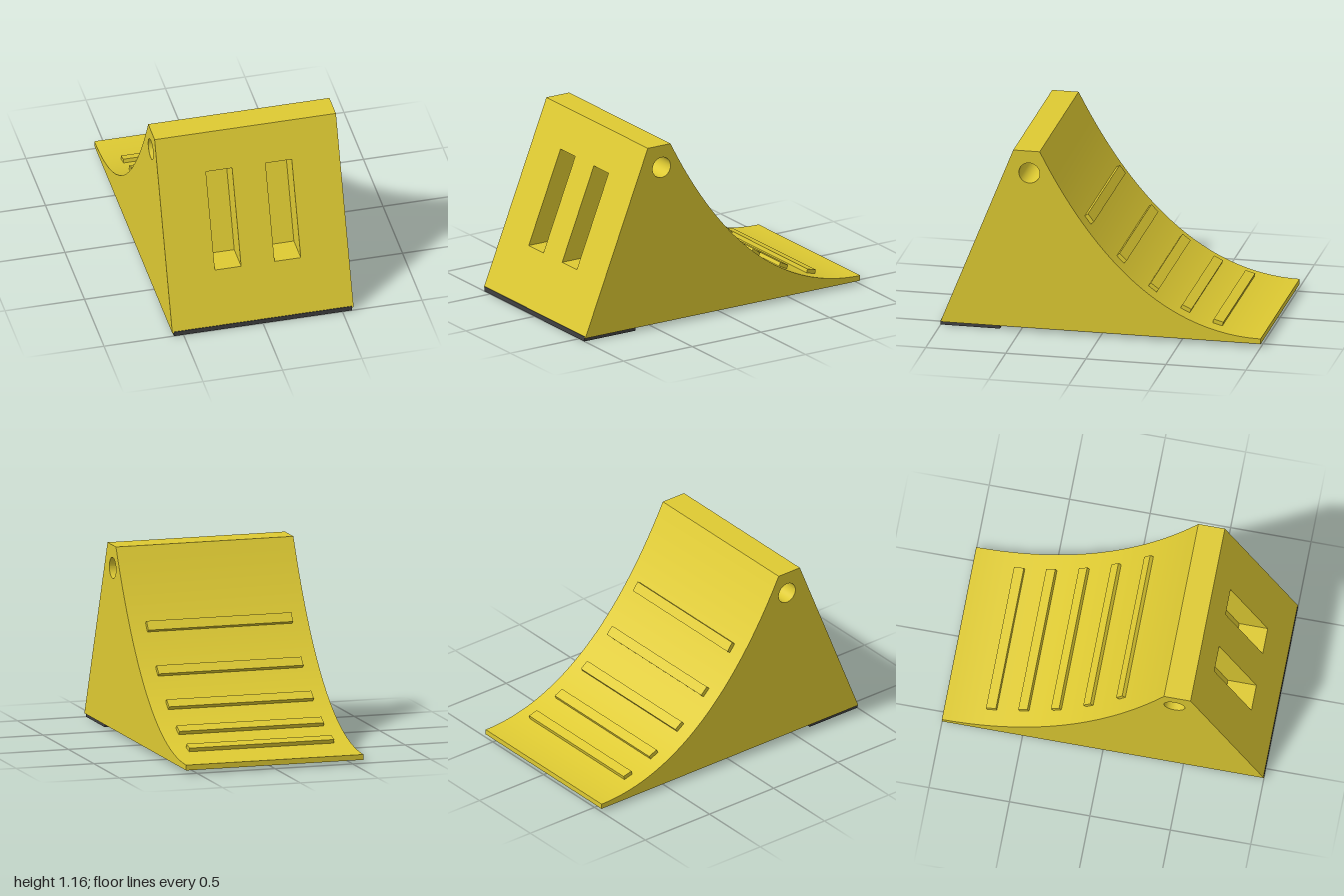
import * as THREE from 'three';
import { mergeGeometries } from 'three/addons/utils/BufferGeometryUtils.js';

const W = 0.57;                                   // half width of the wedge
const BASE = 0.022, TOP = 1.165;                  // underside and crest heights
const FRONT = 1, CREST_FRONT = 0.545, CREST_BACK = 0.38, TOE = -1, TOE_TOP = 0.055;
const HOLE = { z: 0.445, y: 1.023, r: 0.065 };
const POCKET = { x: 0.1875, half: 0.0825, low: 0.355, high: 0.935, depth: 0.177 };

// z of the sloping front at a given height
const slopeZ = (y) => FRONT + (CREST_FRONT - FRONT) * (y - BASE) / (TOP - BASE);

// Concave wheel face, from crest to toe, as (z, y)
const curve = new THREE.QuadraticBezierCurve(
  new THREE.Vector2(CREST_BACK, TOP),
  new THREE.Vector2(-0.19, TOE_TOP),
  new THREE.Vector2(TOE, TOE_TOP));

// Sheet spanning x0..x1 that follows a line of (z, y) points
function sheet(x0, x1, points) {
  const g = new THREE.PlaneGeometry(1, 1, 1, points.length - 1);
  const p = g.attributes.position;
  points.forEach(([z, y], i) => {
    p.setXYZ(2 * i, x0, y, z);
    p.setXYZ(2 * i + 1, x1, y, z);
  });
  g.computeVertexNormals();
  return g;
}

// Flat plate in the z-y plane at x, facing +x (side 1) or -x (side -1)
function sidePlate(x, side, outline, hole) {
  const toShape = ([z, y]) => new THREE.Vector2(-side * z, y);
  const shape = new THREE.Shape(outline.map(toShape));
  if (hole) shape.holes.push(new THREE.Path(hole.map(toShape)));
  return new THREE.ShapeGeometry(shape).rotateY(side * Math.PI / 2).translate(x, 0, 0);
}

function rectangle(Kind, x0, x1, y0, y1) {
  return new Kind([[x0, y0], [x1, y0], [x1, y1], [x0, y1]].map(([x, y]) => new THREE.Vector2(x, y)));
}

function wedgeGeometry() {
  const face = curve.getPoints(40).map((p) => [p.x, p.y]).reverse();   // toe up to crest
  const ring = Array.from({ length: 49 }, (_, i) => {
    const a = i / 48 * Math.PI * 2;
    return [HOLE.z + HOLE.r * Math.cos(a), HOLE.y + HOLE.r * Math.sin(a)];
  });
  const outline = [[CREST_FRONT, TOP], [FRONT, BASE], [TOE, BASE], ...face];

  // Underside, toe edge, wheel face, crest and the cross hole
  const parts = [
    sheet(-W, W, [[FRONT, BASE], [TOE, BASE]]),
    sheet(-W, W, [[TOE, BASE], [TOE, TOE_TOP]]),
    sheet(-W, W, face),
    sheet(-W, W, [[CREST_BACK, TOP], [CREST_FRONT, TOP]]),
    sheet(-W, W, ring),
  ];
  for (const side of [1, -1]) parts.push(sidePlate(side * W, side, outline, ring.slice(0, -1)));

  // Sloping front with two openings
  const front = rectangle(THREE.Shape, -W, W, BASE, TOP);
  const { low, high, depth, half } = POCKET;
  const pocket = [
    [slopeZ(high), high], [slopeZ(high) - depth, high],
    [slopeZ(low) - depth, low], [slopeZ(low), low]];
  for (const s of [1, -1]) {
    const x0 = s * POCKET.x - half, x1 = s * POCKET.x + half;
    front.holes.push(rectangle(THREE.Path, x0, x1, low, high));
    // Pocket ceiling, back and floor, then its two cheeks
    for (let i = 0; i < 3; i++) parts.push(sheet(x0, x1, [pocket[i], pocket[i + 1]]));
    parts.push(sidePlate(x0, 1, pocket), sidePlate(x1, -1, pocket));
  }
  const frontGeo = new THREE.ShapeGeometry(front);
  const p = frontGeo.attributes.position;
  for (let i = 0; i < p.count; i++) p.setZ(i, slopeZ(p.getY(i)));
  frontGeo.computeVertexNormals();
  parts.push(frontGeo);

  return mergeGeometries(parts);
}

export function createModel() {
  const yellow = new THREE.MeshStandardMaterial({ color: 0xdeca32 });
  yellow.name = 'safety yellow';
  const black = new THREE.MeshStandardMaterial({ color: 0x404041 });
  black.name = 'black rubber';

  const model = new THREE.Group();
  model.name = 'wheelChock';

  const wedge = new THREE.Mesh(wedgeGeometry(), yellow);
  wedge.name = 'wedgeBody';
  model.add(wedge);

  // Grip ribs half sunk into the wheel face
  const ribs = new THREE.Group();
  ribs.name = 'gripRibs';
  const ribGeo = new THREE.BoxGeometry(0.93, 0.05, 0.063);
  const samples = curve.getPoints(400);
  for (let i = 0; i < 5; i++) {
    const z = 0.105 - i * 0.203;
    const k = samples.findIndex((p) => p.x <= z);
    const tangent = curve.getTangent(k / 400);
    const rib = new THREE.Mesh(ribGeo, yellow);
    rib.name = `gripRib${i + 1}`;
    rib.position.set(0, samples[k].y, samples[k].x);
    rib.rotation.x = -Math.atan2(-tangent.y, -tangent.x);
    ribs.add(rib);
  }
  model.add(ribs);

  // Rubber pad under the front edge
  const pad = new THREE.Mesh(new THREE.BoxGeometry(1.12, 0.03, 0.37), black);
  pad.name = 'rubberPad';
  pad.position.set(0, 0.015, 0.815);
  model.add(pad);

  return model;
}
